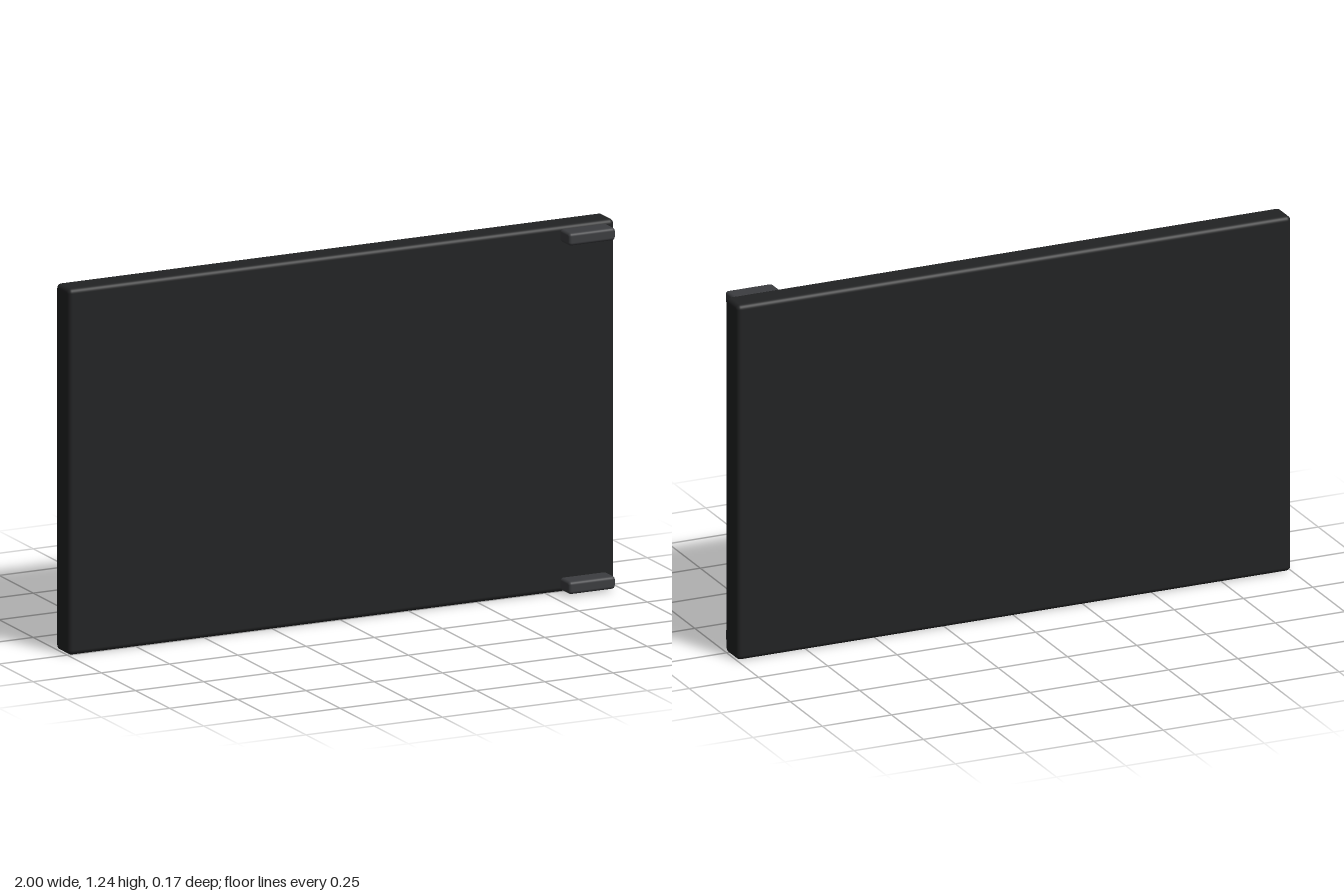
import * as THREE from 'three';
import { RoundedBoxGeometry } from 'three/addons/geometries/RoundedBoxGeometry.js';

// Rounded box placed by its centre
function roundedPart(name, size, radius, position, color) {
  const mesh = new THREE.Mesh(
    new RoundedBoxGeometry(...size, 4, radius),
    new THREE.MeshStandardMaterial({ color })
  );
  mesh.name = name;
  mesh.position.set(...position);
  return mesh;
}

export function createModel() {
  const group = new THREE.Group();
  group.name = 'doorPanel';

  // Slab
  const height = 1.243;
  group.add(roundedPart('panel', [2, height, 0.098], 0.016, [0, height / 2, -0.037], 0x222324));

  // Hinge blocks on the front, near the left edge
  const inset = 0.03;
  for (const [name, y] of [['lowerHinge', inset], ['upperHinge', height - inset]]) {
    group.add(roundedPart(name, [0.171, 0.043, 0.073], 0.011, [0.882, y, 0.0495], 0x3c3d40));
  }
  return group;
}
